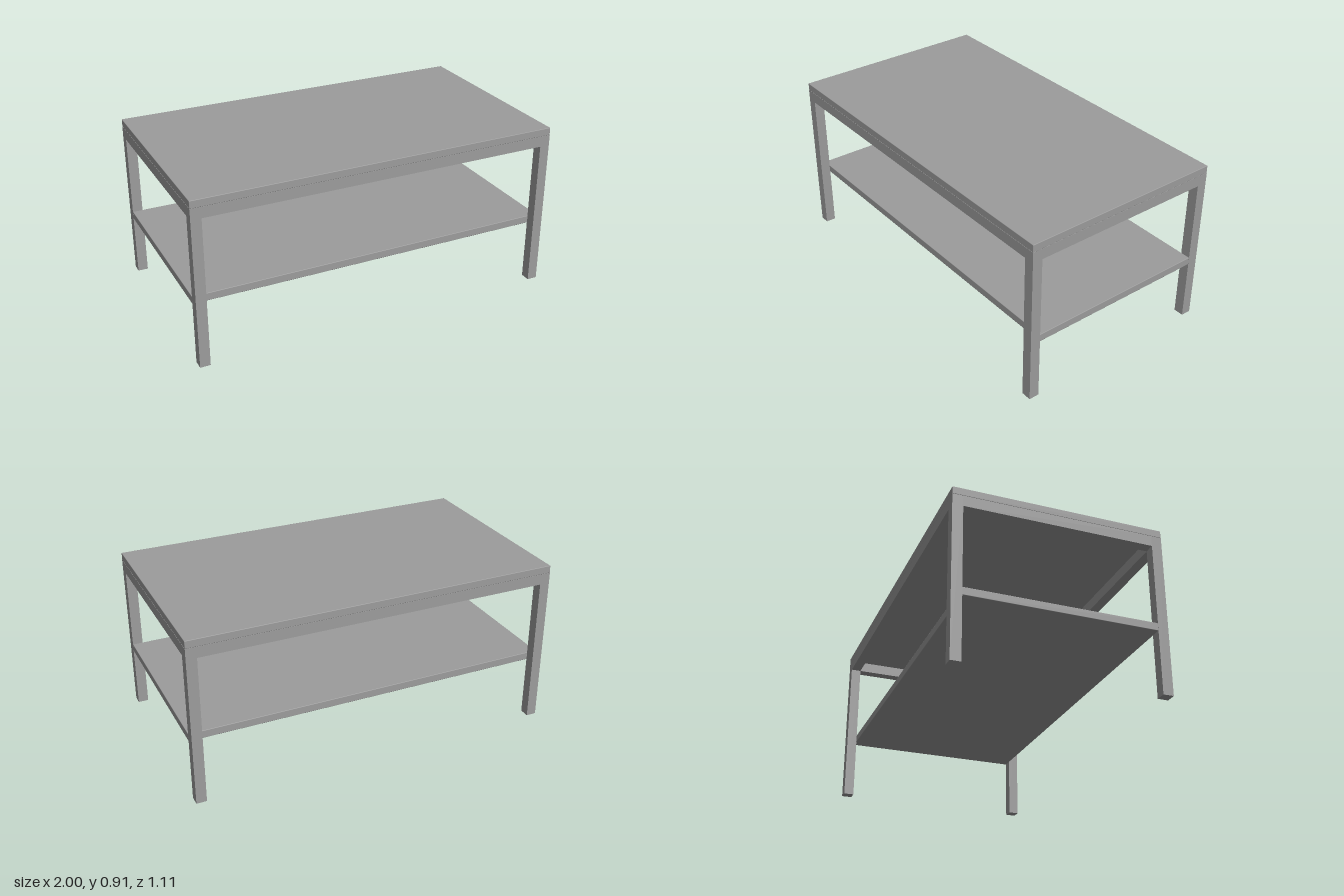
import * as THREE from 'three';
import { RoundedBoxGeometry } from 'three/addons/geometries/RoundedBoxGeometry.js';

const W = 2, D = 1.11;        // overall footprint
const T = 0.055;              // square tube thickness of the frame
const RAIL_H = 0.058;         // height of the rails
const FRAME_TOP = 0.87;       // top of the legs and rails
const TOP = 0.911;            // upper face of the table top
const EASE = 0.003;           // softened edge of the boards

export function createModel() {
  const table = new THREE.Group();
  table.name = 'coffeeTable';
  const material = new THREE.MeshStandardMaterial({ color: 0x9c9c9c });

  const add = (name, geometry, x, y, z) => {
    const mesh = new THREE.Mesh(geometry, material);
    mesh.name = name;
    mesh.position.set(x, y, z);
    table.add(mesh);
  };
  const bar = (w, h, d) => new THREE.BoxGeometry(w, h, d);
  const board = (w, h, d) => new RoundedBoxGeometry(w, h, d, 2, EASE);

  const legX = (W - T) / 2, legZ = (D - T) / 2;
  const innerW = W - 2 * T, innerD = D - 2 * T;
  const railY = FRAME_TOP - RAIL_H / 2;

  // table top
  add('tableTop', board(W, TOP - FRAME_TOP, D), 0, (TOP + FRAME_TOP) / 2, 0);

  // four corner legs
  for (const [side, sx] of [['Left', 1], ['Right', -1]]) {
    for (const [end, sz] of [['front', 1], ['back', -1]]) {
      add(`${end}${side}Leg`, bar(T, FRAME_TOP, T), sx * legX, FRAME_TOP / 2, sz * legZ);
    }
  }

  // rails between the legs, under the top
  for (const [end, sz] of [['front', 1], ['back', -1]]) {
    add(`${end}Rail`, bar(innerW, RAIL_H, T), 0, railY, sz * legZ);
  }
  for (const [side, sx] of [['left', 1], ['right', -1]]) {
    add(`${side}Rail`, bar(T, RAIL_H, innerD), sx * legX, railY, 0);
  }

  // lower shelf, full length, held between the front and back legs
  add('lowerShelf', board(W, 0.042, innerD + 0.002), 0, 0.356, 0);

  return table;
}
